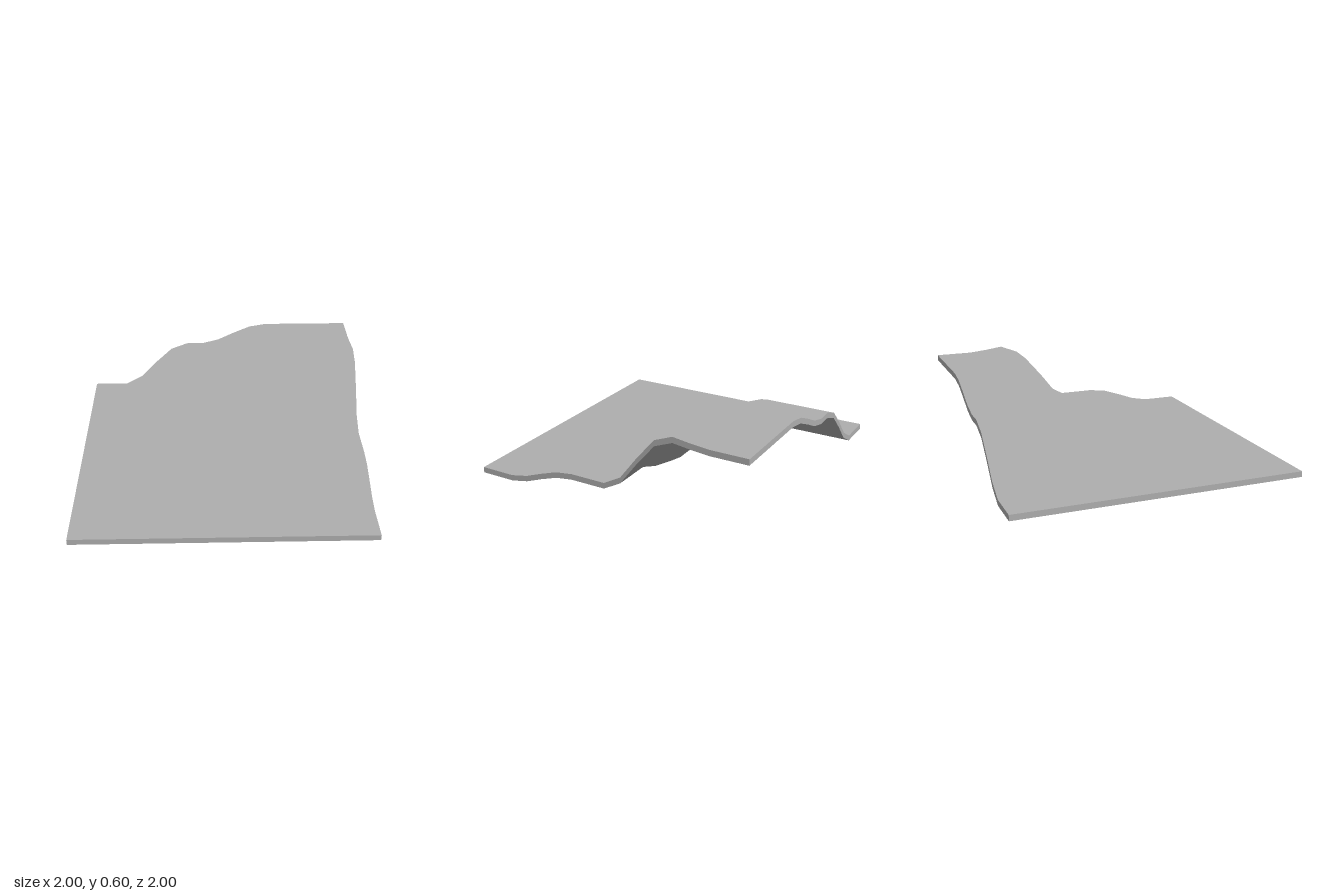
import * as THREE from 'three';

// Rounded ramp sampled at quarter steps, 0 before it and 1 after it
const RAMP = [0, 0.19, 0.55, 0.87, 1];
function ramp(v, start, end) {
  const t = THREE.MathUtils.clamp((v - start) / (end - start), 0, 1) * 4;
  const i = Math.min(3, Math.floor(t));
  return THREE.MathUtils.lerp(RAMP[i], RAMP[i + 1], t - i);
}

// Height of the land above the flat ground
function landHeight(x, z) {
  const plateau = 0.365 * ramp(x, -0.75, -0.25) * ramp(z, 0, -0.5);
  const upperStep = 0.165 * ramp(x, -0.125, 0.375) * ramp(z, -0.125, -0.625);
  const sideShelf = 0.13 * ramp(x, 0.25, 0.75) * ramp(z, 0.75, 0.25) * (1 - ramp(z, -0.25, -0.7));
  return plateau + upperStep + sideShelf;
}

export function createModel() {
  const group = new THREE.Group();
  group.name = 'terrain';

  // Thin slab bent over the land; it keeps the flat box normals for even shading
  const geometry = new THREE.BoxGeometry(2, 0.04, 2, 16, 1, 16);
  geometry.translate(0, 0.02, 0);
  const pos = geometry.attributes.position;
  for (let i = 0; i < pos.count; i++) {
    pos.setY(i, pos.getY(i) + landHeight(pos.getX(i), pos.getZ(i)));
  }

  const slab = new THREE.Mesh(geometry, new THREE.MeshStandardMaterial({ color: 0xaeaeae }));
  slab.name = 'hillsideSlab';
  group.add(slab);
  return group;
}
